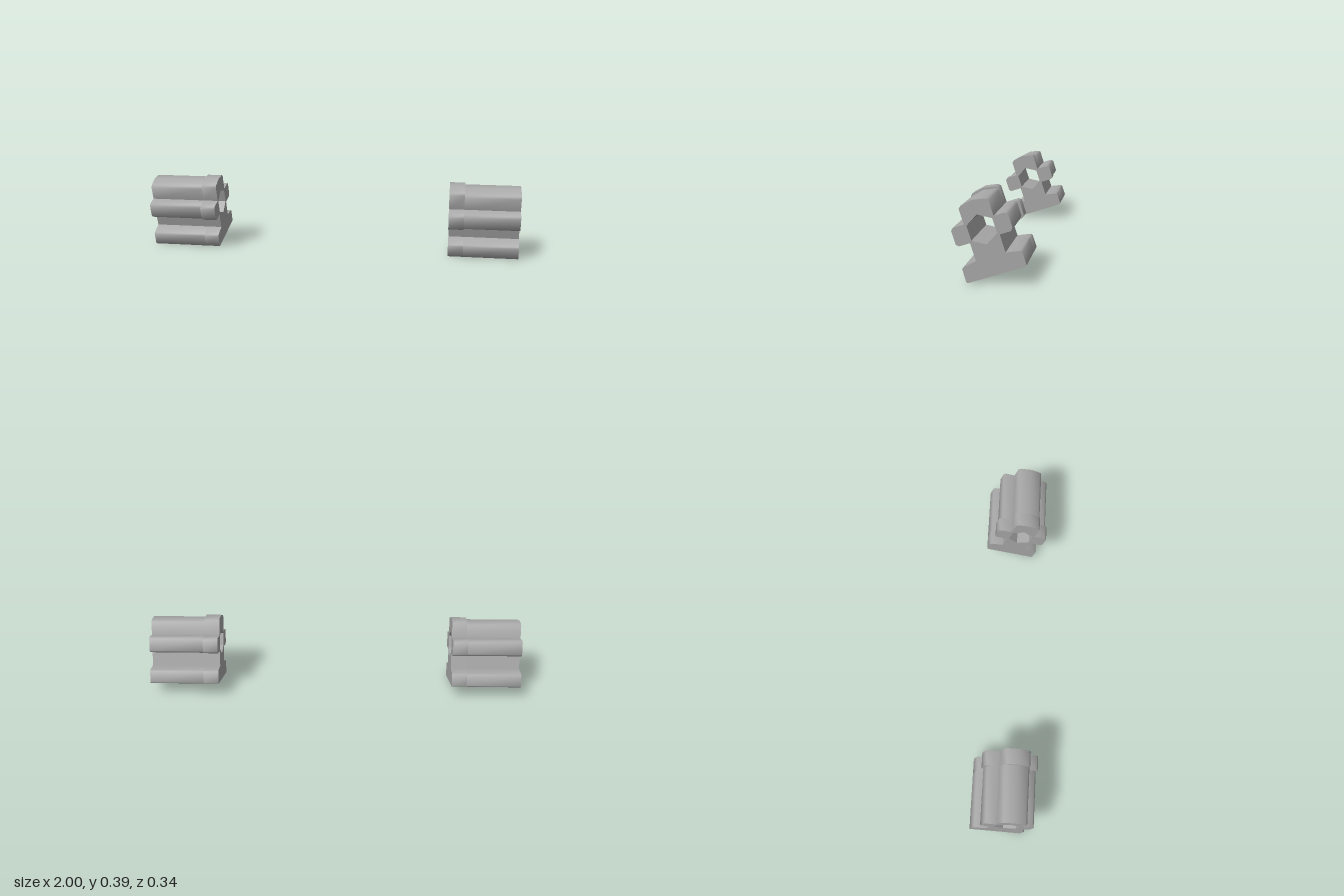
import * as THREE from 'three';
import { toCreasedNormals } from 'three/addons/utils/BufferGeometryUtils.js';

const TILT = Math.PI / 10;
const AXIS = { y: 0.243, z: 0.0267 }; // centre of the hexagonal bore
const INNER = 0.63, STEP = 0.71, OUTER = 1;

// Mirrored cross profile with a foot; the arms and crown grow by `grow`
function profile(grow) {
  const right = [
    [0.135, -0.2105], [0.14, -0.205], [0.1395, -0.144], [0.132, -0.137], // foot
    [0.069, -0.126], [0.069, -0.043], // neck
    [0.121 + grow, -0.043], [0.132 + grow, -0.032], // side arm
    [0.132 + grow, 0.032], [0.121 + grow, 0.043], [0.069, 0.043],
    [0.069, 0.115 + grow], [0.057, 0.1255 + grow], // crown
  ];
  const left = right.map(([u, v]) => [-u, v]).reverse();
  const points = [...right, [0, 0.136 + grow], ...left];
  const shape = new THREE.Shape(points.map(([u, v]) => new THREE.Vector2(u, v)));

  // Hexagonal bore, one corner up
  const bore = [];
  for (let i = 0; i < 6; i++) {
    const a = Math.PI / 2 - (i * Math.PI) / 3;
    bore.push(new THREE.Vector2(0.069 * Math.cos(a), 0.069 * Math.sin(a)));
  }
  shape.holes.push(new THREE.Path(bore));
  return shape;
}

// Tilted extrusion running along x from x0 to x1
function section(name, grow, x0, x1, material) {
  const solid = new THREE.ExtrudeGeometry(profile(grow), { depth: x1 - x0, bevelEnabled: false });
  solid.rotateZ(TILT);
  solid.rotateY(Math.PI / 2);
  solid.translate(x0, AXIS.y, AXIS.z);
  const mesh = new THREE.Mesh(toCreasedNormals(solid, 0.87), material);
  mesh.name = name;
  return mesh;
}

export function createModel() {
  const grey = new THREE.MeshStandardMaterial({ color: 0xa8a8a8 });
  grey.name = 'grey';

  const model = new THREE.Group();
  model.name = 'railEndPair';
  for (const side of [1, -1]) {
    const block = new THREE.Group();
    block.name = side > 0 ? 'leftBlock' : 'rightBlock';
    const span = (a, b) => (side > 0 ? [a, b] : [-b, -a]);
    block.add(section('body', 0, ...span(STEP, OUTER), grey));
    block.add(section('collar', 0.0105, ...span(INNER, STEP), grey)); // raised inner end
    model.add(block);
  }
  return model;
}
